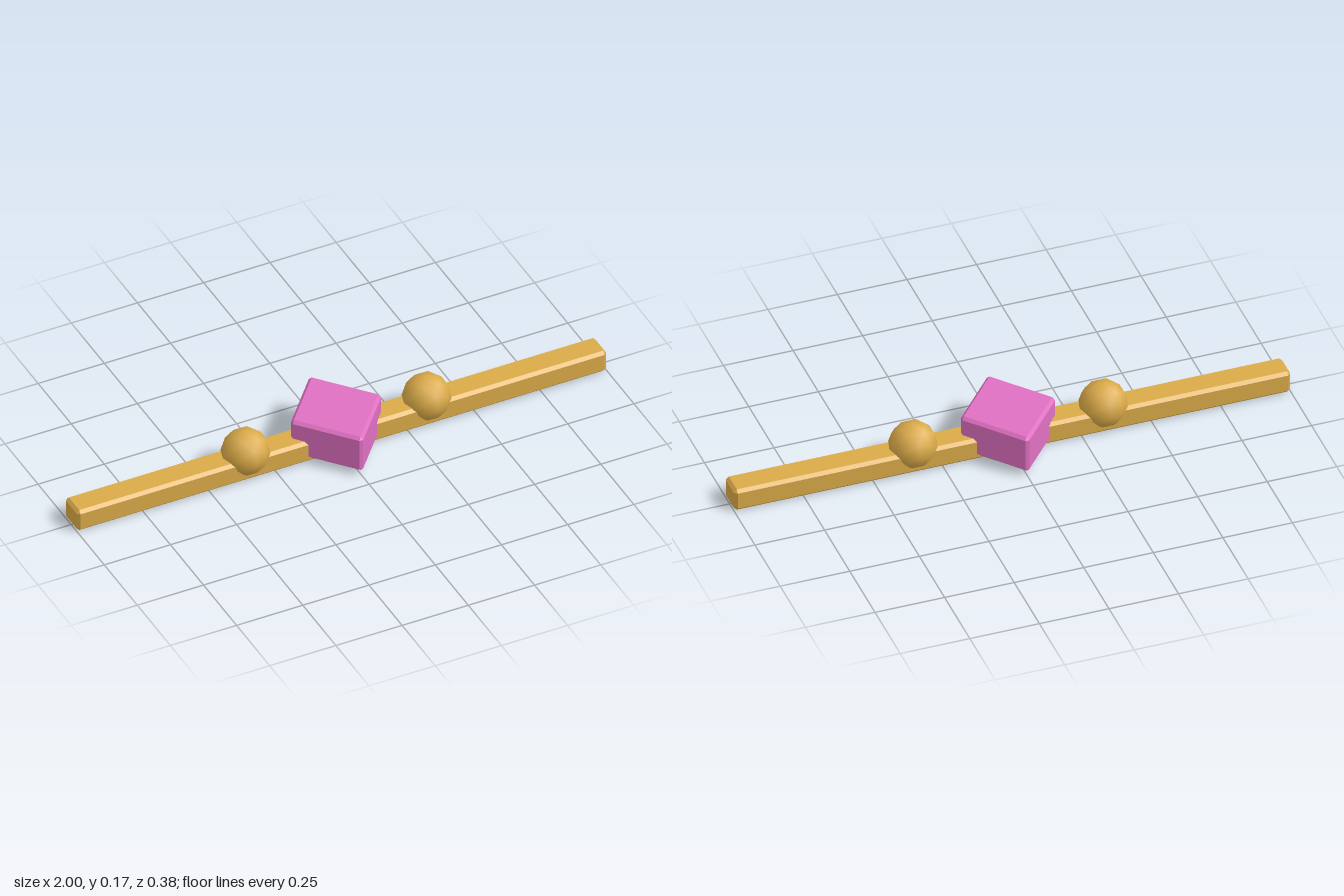
import * as THREE from 'three';
import { ConvexGeometry } from 'three/addons/geometries/ConvexGeometry.js';

// Box with flat chamfers; hx, hy, hz are half sizes and cx, cy, cz the chamfer on each axis.
// An optional map moves the corner points before the faces are made.
function chamferBox([hx, hy, hz], [cx, cy, cz], map = (p) => p) {
  const points = [];
  for (const sx of [-1, 1]) for (const sy of [-1, 1]) for (const sz of [-1, 1]) {
    const add = (x, y, z) => points.push(map(new THREE.Vector3(sx * x, sy * y, sz * z)));
    add(hx, hy - cy, hz - cz);
    add(hx - cx, hy, hz - cz);
    add(hx - cx, hy - cy, hz);
  }
  return new ConvexGeometry(points);
}

export function createModel() {
  const group = new THREE.Group();
  const gold = new THREE.MeshStandardMaterial({ color: 0xdaaa48 });
  gold.name = 'gold';
  const pink = new THREE.MeshStandardMaterial({ color: 0xe070c2 });
  pink.name = 'pink';

  const add = (name, geometry, material, x, y, z) => {
    const mesh = new THREE.Mesh(geometry, material);
    mesh.name = name;
    mesh.position.set(x, y, z);
    group.add(mesh);
  };

  // Long bar
  add('bar', chamferBox([1, 0.0425, 0.05], [0.011, 0.011, 0.011]), gold, 0, 0.0425, 0);

  // Diamond-shaped gem: a square block turned 45 degrees and stretched along z
  const e = 0.08;
  const toDiamond = (p) => new THREE.Vector3(
    0.166 * (p.x + p.z) / (2 - e), p.y, 0.192 * (p.z - p.x) / (2 - e));
  add('gem', chamferBox([1, 0.0705, 1], [e, 0.0105, e], toDiamond), pink, 0, 0.0865, 0);

  // Round beads on either side of the gem
  const bead = new THREE.IcosahedronGeometry(0.085, 1);
  add('leftBead', bead, gold, 0.342, 0.0865, 0);
  add('rightBead', bead, gold, -0.342, 0.0865, 0);

  return group;
}
